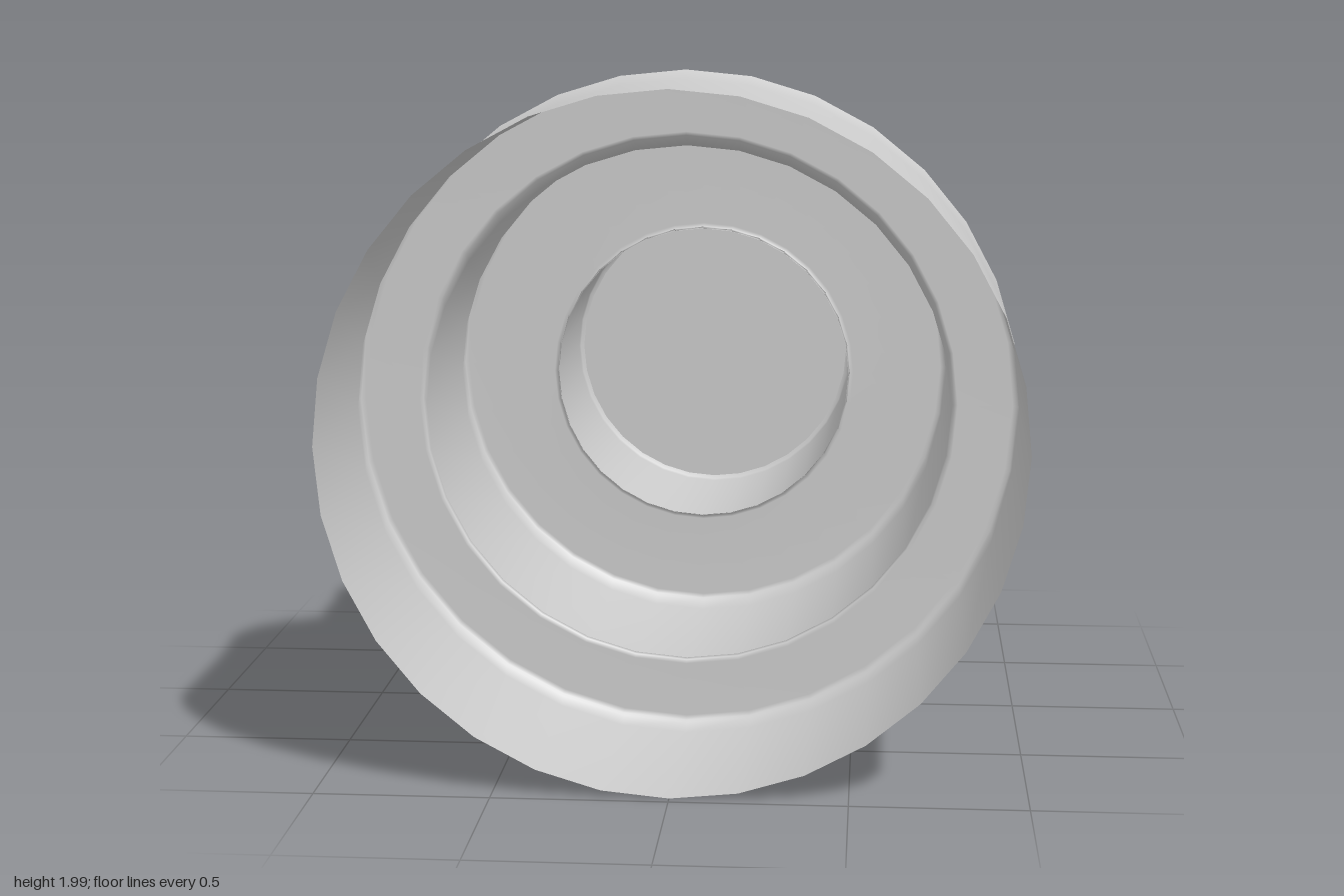
import * as THREE from 'three';

const SIDES = 32;
const AXIS = 0.99; // height of the main axis
const LIFT = 0.026; // the two larger shoulders sit slightly above the axis

// Smooth open skin through rings [radius, z, lift], listed front to back
function ringSkin(rings) {
  const pos = [], index = [];
  rings.forEach(([r, z, lift = 0], i) => {
    for (let j = 0; j < SIDES; j++) {
      const a = (j / SIDES) * Math.PI * 2;
      pos.push(r * Math.sin(a), AXIS + lift + r * Math.cos(a), z);
      if (i === rings.length - 1) continue;
      const p = i * SIDES + j, n = i * SIDES + (j + 1) % SIDES;
      index.push(p, n, p + SIDES, n, n + SIDES, p + SIDES);
    }
  });
  const geo = new THREE.BufferGeometry();
  geo.setAttribute('position', new THREE.Float32BufferAttribute(pos, 3));
  geo.setIndex(index);
  geo.computeVertexNormals();
  return geo;
}

export function createModel() {
  const group = new THREE.Group();
  group.name = 'steppedSleeve';
  const material = new THREE.MeshStandardMaterial({ color: 0xcccccc, side: THREE.DoubleSide });

  const shell = new THREE.Mesh(ringSkin([
    // wide open mouth and its rounded shoulder
    [0.984, 0.97], [0.984, 0.352],
    [0.984, 0.334, LIFT], [0.979, 0.325, LIFT], [0.965, 0.32, LIFT],
    // fillet into the middle barrel
    [0.803, 0.32, LIFT], [0.792, 0.316, LIFT], [0.788, 0.306, LIFT],
    [0.787, 0.29],
    // middle barrel and its rounded shoulder
    [0.787, -0.375],
    [0.787, -0.394, LIFT], [0.782, -0.404, LIFT], [0.769, -0.409, LIFT],
    // fillet into the narrow barrel
    [0.488, -0.409], [0.477, -0.404], [0.472, -0.392],
    // narrow barrel and its closed end
    [0.472, -0.953], [0.468, -0.965], [0.457, -0.97],
  ]), material);
  shell.name = 'steppedShell';

  // Flat disc closing the narrow end
  const cap = new THREE.Mesh(new THREE.CircleGeometry(0.457, SIDES), material);
  cap.name = 'endCap';
  cap.rotation.y = Math.PI;
  cap.position.set(0, AXIS, -0.97);

  group.add(shell, cap);
  return group;
}
